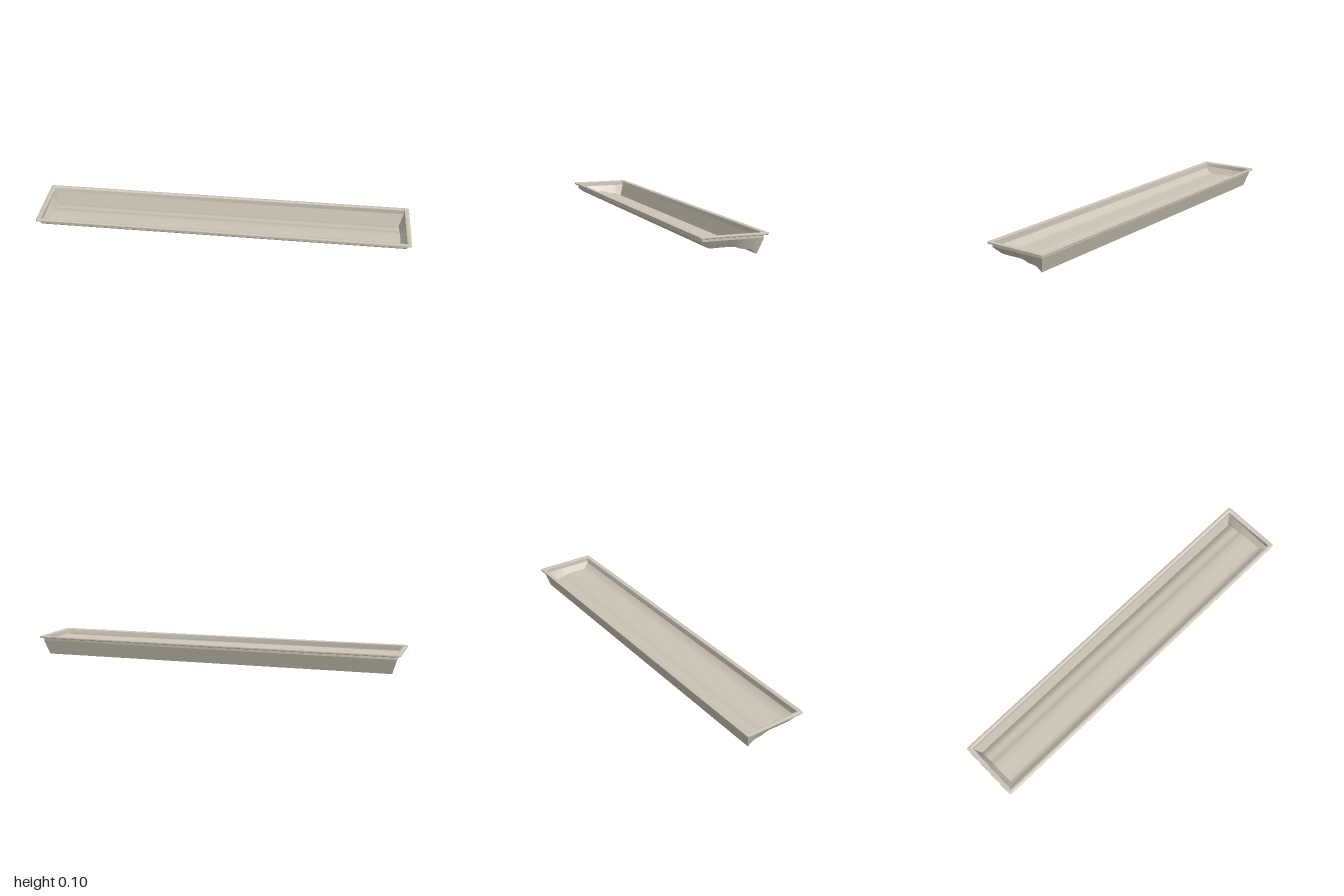
import * as THREE from 'three';
import { toCreasedNormals } from 'three/addons/utils/BufferGeometryUtils.js';

const LIP = 0.078; // height where the tray walls meet the rim

// Surface through rows of points, all rows having the same length
function skin(rows, crease) {
  const pos = [], idx = [], n = rows[0].length;
  rows.forEach(r => r.forEach(p => pos.push(...p)));
  for (let i = 0; i < rows.length - 1; i++) {
    for (let j = 0; j < n - 1; j++) {
      const a = i * n + j, b = a + 1, c = a + n, d = c + 1;
      idx.push(a, c, b, b, c, d);
    }
  }
  const g = new THREE.BufferGeometry();
  g.setAttribute('position', new THREE.Float32BufferAttribute(pos, 3));
  g.setIndex(idx);
  return toCreasedNormals(g, crease);
}

// Closed horizontal rectangle with rounded corners
function ring(hx, hz, y, r) {
  const pts = [];
  [[1, 1], [-1, 1], [-1, -1], [1, -1]].forEach(([sx, sz], q) => {
    for (let k = 0; k <= 4; k++) {
      const a = (q + k / 4) * Math.PI / 2;
      pts.push([sx * (hx - r) + r * Math.cos(a), y, sz * (hz - r) + r * Math.sin(a)]);
    }
  });
  pts.push(pts[0]);
  return pts;
}

export function createModel() {
  const group = new THREE.Group();
  const beige = new THREE.MeshStandardMaterial({ color: 0xcbc5b5, side: THREE.DoubleSide });
  beige.name = 'warm beige';
  const add = (name, geometry) => {
    const mesh = new THREE.Mesh(geometry, beige);
    mesh.name = name;
    group.add(mesh);
  };

  // Stepped floor profile (z, y), front to back
  const profile = new THREE.SplineCurve([
    [0.152, LIP], [0.15, 0.07], [0.131, 0.054], [0.108, 0.043], [0.06, 0.042], [0, 0.042],
    [-0.029, 0.037], [-0.048, 0.03], [-0.088, 0.025], [-0.106, 0.017], [-0.128, 0],
  ].map(p => new THREE.Vector2(...p))).getPoints(40);

  // Half length of the floor, widening where the front edge curves up
  const halfX = y => 0.957 + 0.023 * Math.max(0, (y - 0.043) / (LIP - 0.043));

  for (const [side, inset, lift] of [['outer', 0, 0], ['inner', 0.006, 0.005]]) {
    const floor = profile.map(p => ({
      x: halfX(p.y) - inset,
      y: lift + p.y * (LIP - lift) / LIP,
      z: p.x * (0.152 - inset) / 0.152,
    }));
    const low = floor[floor.length - 1];
    const backTop = { x: 0.98 - inset, y: LIP, z: -0.152 + inset };
    const span = p => [[-p.x, p.y, p.z], [p.x, p.y, p.z]];

    add(side + 'Floor', skin(floor.map(span), 0.6));
    add(side + 'BackWall', skin([span(low), span(backTop)], 0.3));

    // End walls rise from the floor edge to the lip
    for (const s of [1, -1]) {
      const edge = [...floor, backTop];
      const bottom = edge.map(p => [s * p.x, p.y, p.z]);
      const top = edge.map(p => [s * (0.98 - inset), LIP, p.z]);
      add(side + (s > 0 ? 'LeftEnd' : 'RightEnd'), skin([bottom, top], 0.6));
    }
  }

  // Rolled rim with a short collar outside and in
  add('rim', skin([
    ring(0.98, 0.152, LIP, 0.002),
    ring(0.98, 0.152, 0.092, 0.002),
    ring(0.995, 0.166, 0.092, 0.008),
    ring(0.999, 0.169, 0.094, 0.01),
    ring(1, 0.17, 0.098, 0.011),
    ring(0.999, 0.169, 0.102, 0.01),
    ring(0.995, 0.165, 0.104, 0.008),
    ring(0.983, 0.155, 0.104, 0.004),
    ring(0.976, 0.148, 0.1, 0.002),
    ring(0.974, 0.146, LIP, 0.002),
  ], 0.7));

  return group;
}
